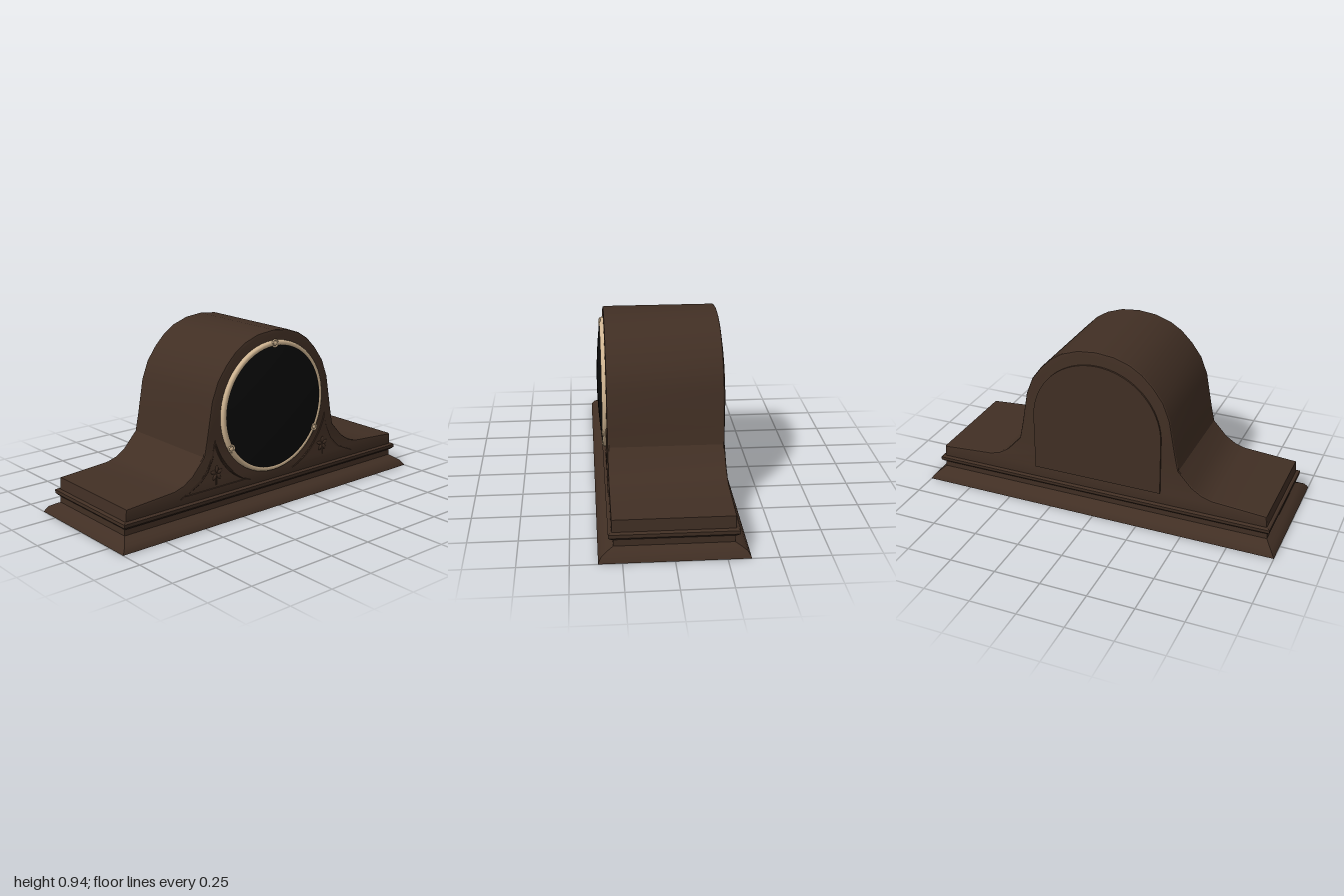
import * as THREE from 'three';
import { toCreasedNormals } from 'three/addons/utils/BufferGeometryUtils.js';

const mat = (name, color) => {
  const m = new THREE.MeshStandardMaterial({ color });
  m.name = name;
  return m;
};

// Rectangular moulding lofted through rows of [y, half width, half depth]
function moulding(rows) {
  const pos = [], idx = [];
  for (const [y, x, z] of rows) pos.push(-x, y, z, x, y, z, x, y, -z, -x, y, -z);
  for (let r = 0; r < rows.length - 1; r++) {
    for (let i = 0; i < 4; i++) {
      const a = r * 4 + i, b = r * 4 + (i + 1) % 4;
      idx.push(a, b, b + 4, a, b + 4, a + 4);
    }
  }
  const t = (rows.length - 1) * 4;
  idx.push(0, 2, 1, 0, 3, 2, t, t + 1, t + 2, t, t + 2, t + 3);
  const g = new THREE.BufferGeometry();
  g.setAttribute('position', new THREE.Float32BufferAttribute(pos, 3));
  g.setIndex(idx);
  return toCreasedNormals(g, 0.5);
}

export function createModel() {
  const group = new THREE.Group();
  const wood = mat('dark walnut', 0x412f24);
  const brass = mat('pale brass', 0xd0b592);
  const black = mat('black glass', 0x0a0a0a);
  const add = (name, geo, material, parent = group) => {
    const m = new THREE.Mesh(geo, material);
    m.name = name;
    parent.add(m);
    return m;
  };
  const V = (x, y) => new THREE.Vector2(x, y);
  const CY = 0.535; // dial centre height

  // Stepped plinth and waist moulding
  add('plinth', moulding([
    [0, 1, 0.365], [0.008, 0.995, 0.362], [0.03, 0.98, 0.348], [0.045, 0.96, 0.322],
    [0.06, 0.94, 0.292], [0.1, 0.94, 0.292],
  ]), wood);
  add('waistMoulding', moulding([
    [0.095, 0.942, 0.3], [0.108, 0.955, 0.314], [0.126, 0.955, 0.316], [0.132, 0.945, 0.306],
  ]), wood);

  // Humped case with sweeping shoulders
  const half = [[0.938, 0.125], [0.932, 0.194], [0.78, 0.205], [0.64, 0.215], [0.585, 0.232],
    [0.53, 0.268], [0.455, 0.35], [0.436, 0.44], [0.402, 0.63], [0.365, 0.725], [0.31, 0.8],
    [0.25, 0.86], [0.187, 0.9], [0.1, 0.93]];
  const right = half.map(([x, y]) => V(x, y));
  const left = half.map(([x, y]) => V(-x, y)).reverse();
  const caseGeo = new THREE.ExtrudeGeometry(new THREE.Shape([...right, V(0, 0.94), ...left]), {
    depth: 0.584, bevelThickness: 0.008, bevelSize: 0.012, bevelOffset: -0.012, bevelSegments: 2,
  });
  caseGeo.translate(0, 0, -0.292);
  add('case', toCreasedNormals(caseGeo, 0.5), wood);

  // Arched access door on the back
  const door = new THREE.Shape();
  door.moveTo(-0.36, 0.198);
  door.lineTo(0.36, 0.198);
  door.lineTo(0.36, 0.505);
  door.absarc(0, 0.505, 0.36, 0, Math.PI, false);
  door.closePath();
  const doorGeo = new THREE.ExtrudeGeometry(door, {
    depth: 0.012, bevelEnabled: false, curveSegments: 20,
  });
  doorGeo.translate(0, 0, -0.31);
  add('backDoor', toCreasedNormals(doorGeo, 0.5), wood);

  // Brass bezel and domed dial, turned about the z axis
  const turned = (pts) => new THREE.LatheGeometry(pts.map(([r, z]) => V(r, z)), 56)
    .rotateX(Math.PI / 2).translate(0, CY, 0);
  add('bezel', turned([[0.35, 0.298], [0.35, 0.308], [0.346, 0.317], [0.338, 0.321],
    [0.328, 0.319], [0.32, 0.312]]), brass);
  const dome = [];
  for (let i = 0; i <= 8; i++) {
    const r = 0.326 * (1 - i / 8);
    dome.push([r, 0.34 - 0.022 * (r / 0.326) ** 2]);
  }
  add('dialGlass', turned(dome), black);

  // Three small bosses around the bezel
  for (const deg of [90, 210, 330]) {
    const a = deg * Math.PI / 180;
    const boss = new THREE.Group();
    boss.name = 'bezelBoss';
    boss.position.set(0.337 * Math.cos(a), CY + 0.337 * Math.sin(a), 0.317);
    add('bossRing', new THREE.TorusGeometry(0.018, 0.005, 8, 18), brass, boss);
    add('bossBead', new THREE.SphereGeometry(0.012, 12, 8), brass, boss).scale.z = 0.7;
    group.add(boss);
  }

  // Three-sided corner panels with a raised frame and carved flower
  const outline = (s, k) => {
    const pts = [];
    for (let i = 0; i <= 10; i++) {
      const a = (-68 + 52.5 * i / 10) * Math.PI / 180;
      pts.push([0.4 * Math.cos(a), CY + 0.4 * Math.sin(a)]);
    }
    pts.push([0.405, 0.345], [0.44, 0.275], [0.5, 0.215], [0.61, 0.164]);
    return pts.map(([x, y]) => V(s * (0.385 + (x - 0.385) * k), 0.235 + (y - 0.235) * k));
  };
  for (const s of [-1, 1]) {
    const panel = new THREE.Group();
    panel.name = s > 0 ? 'leftPanel' : 'rightPanel';
    const frame = new THREE.Shape(outline(s, 1));
    frame.holes.push(new THREE.Path(outline(s, 0.84)));
    const frameGeo = new THREE.ExtrudeGeometry(frame, {
      depth: 0.003, bevelThickness: 0.003, bevelSize: 0.004, bevelOffset: -0.004, bevelSegments: 1,
    });
    frameGeo.translate(0, 0, 0.299);
    add('panelFrame', toCreasedNormals(frameGeo, 0.5), wood, panel);
    for (let i = 0; i < 5; i++) {
      const a = Math.PI / 2 + i * Math.PI * 0.4;
      const petal = add('petal', new THREE.SphereGeometry(1, 10, 6), wood, panel);
      petal.scale.set(0.019, 0.01, 0.006);
      petal.rotation.z = a;
      petal.position.set(s * 0.375 + 0.022 * Math.cos(a), 0.25 + 0.022 * Math.sin(a), 0.3);
    }
    const stem = add('stem', new THREE.CylinderGeometry(0.004, 0.004, 0.05, 6), wood, panel);
    stem.position.set(s * 0.38, 0.215, 0.3);
    group.add(panel);
  }
  return group;
}
